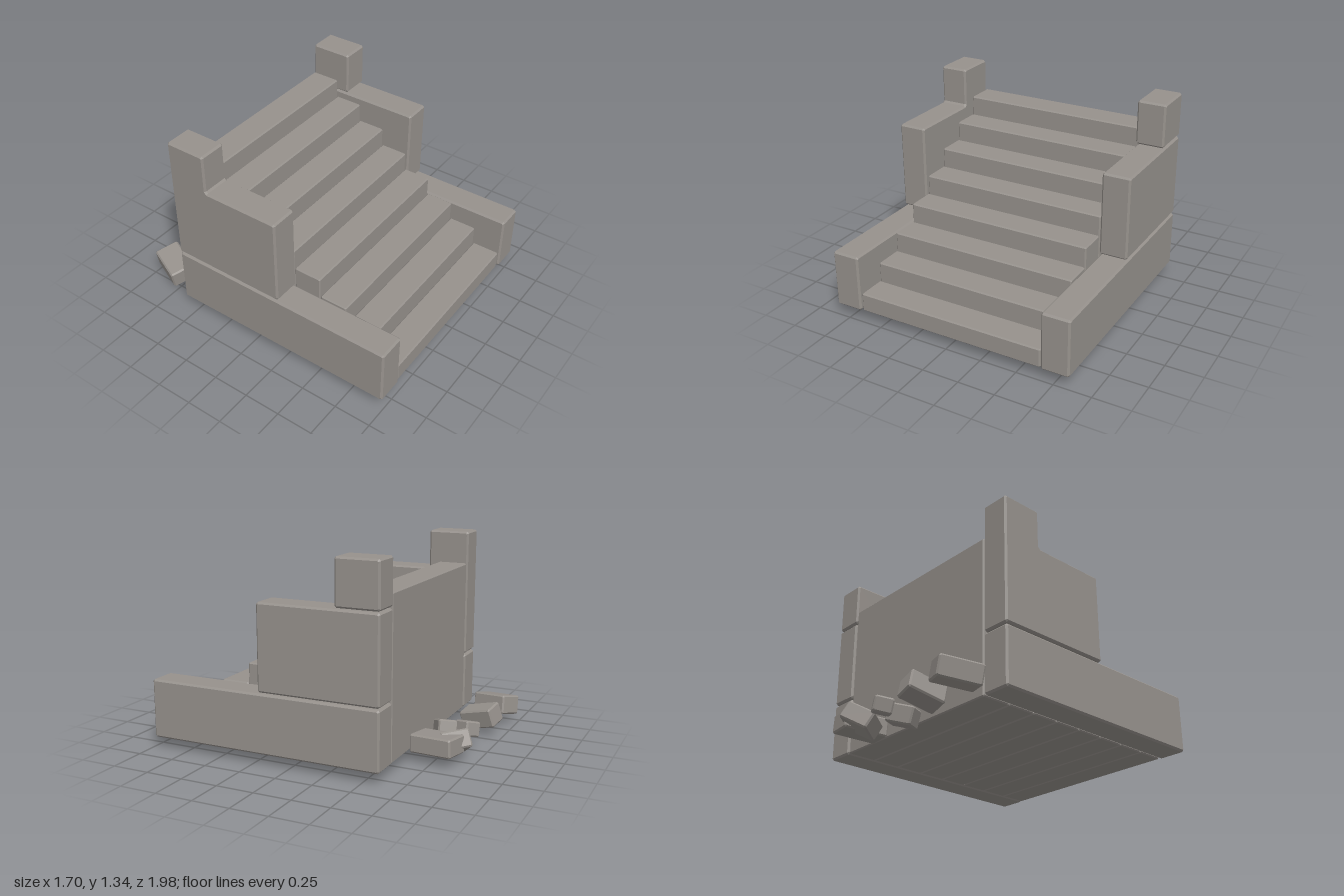
import * as THREE from 'three';

const stone = new THREE.MeshStandardMaterial({ color: 0x96918c });
stone.name = 'stone';

// Extrudes a side profile of [z, y] corners across x, with every edge chamfered by c.
function chamferedBlock(name, corners, x0, x1, c = 0.012) {
  const pts = [];
  corners.forEach((corner, i) => {
    const p = new THREE.Vector2(...corner);
    const n = corners.length;
    for (const j of [(i + n - 1) % n, (i + 1) % n]) {
      const dir = new THREE.Vector2(...corners[j]).sub(p).normalize();
      pts.push(p.clone().addScaledVector(dir, c));
    }
  });
  const geometry = new THREE.ExtrudeGeometry(new THREE.Shape(pts), {
    depth: x1 - x0 - 2 * c, bevelEnabled: true, bevelSegments: 1,
    bevelSize: c, bevelThickness: c, bevelOffset: -c, steps: 1,
  });
  geometry.rotateY(-Math.PI / 2).translate(x1 - c, 0, 0);
  const mesh = new THREE.Mesh(geometry, stone);
  mesh.name = name;
  return mesh;
}

const rect = (z0, z1, y0, y1) => [[z0, y0], [z1, y0], [z1, y1], [z0, y1]];

export function createModel() {
  const model = new THREE.Group();
  model.name = 'stoneStairs';
  const base = 0.08, back = -0.61;

  // Eight steps, each a full-height slab standing on the base line
  const steps = new THREE.Group();
  steps.name = 'steps';
  for (let i = 0; i < 8; i++) {
    const front = 0.978 - i * 0.1975;
    const rear = i === 7 ? -0.605 : front - 0.194;
    steps.add(chamferedBlock('step', rect(rear, front, base, 0.208 + i * 0.1315), -0.653, 0.65, 0.008));
  }
  model.add(steps);

  // Left wall: three stacked blocks
  const leftWall = new THREE.Group();
  leftWall.name = 'leftWall';
  leftWall.add(
    chamferedBlock('lowerBlock', rect(back, 0.99, base, 0.47), 0.658, 0.848),
    chamferedBlock('middleBlock', rect(back, 0.205, 0.478, 1.04), 0.658, 0.848),
    chamferedBlock('topPost', rect(back, -0.32, 1.047, 1.346), 0.653, 0.848),
  );
  model.add(leftWall);

  // Right wall: a lower block and one L-shaped upper block
  const rightWall = new THREE.Group();
  rightWall.name = 'rightWall';
  rightWall.add(
    chamferedBlock('lowerBlock', rect(back, 0.99, base, 0.47), -0.852, -0.66),
    chamferedBlock('upperBlock', [
      [back, 0.478], [0.205, 0.478], [0.205, 1.08], [-0.325, 1.08], [-0.325, 1.346], [back, 1.346],
    ], -0.852, -0.66),
  );
  model.add(rightWall);

  // Loose stones behind the stairs: size, position, rotation
  const rubble = new THREE.Group();
  rubble.name = 'rubble';
  const stones = [
    [[0.17, 0.13, 0.27], [-0.695, 0.135, -0.84], [0.1, -0.4, 0.18]],
    [[0.15, 0.13, 0.24], [-0.385, 0.125, -0.83], [0.25, -0.2, -0.18]],
    [[0.12, 0.1, 0.12], [-0.035, 0.14, -0.85], [0.15, -0.5, 0.25]],
    [[0.17, 0.12, 0.14], [-0.04, 0.115, -0.7], [-0.12, 0.55, 0.28]],
    [[0.2, 0.12, 0.19], [0.2, 0.116, -0.835], [0.12, 0.65, 0.5]],
    [[0.19, 0.12, 0.29], [0.305, 0.13, -0.765], [0.04, -0.17, 0.05]],
  ];
  for (const [[w, h, d], position, [rx, ry, rz]] of stones) {
    const mesh = chamferedBlock('looseStone', rect(-d / 2, d / 2, -h / 2, h / 2), -w / 2, w / 2, 0.01);
    mesh.position.set(...position);
    mesh.rotation.set(rx, ry, rz, 'YXZ');
    rubble.add(mesh);
  }
  model.add(rubble);

  return model;
}
